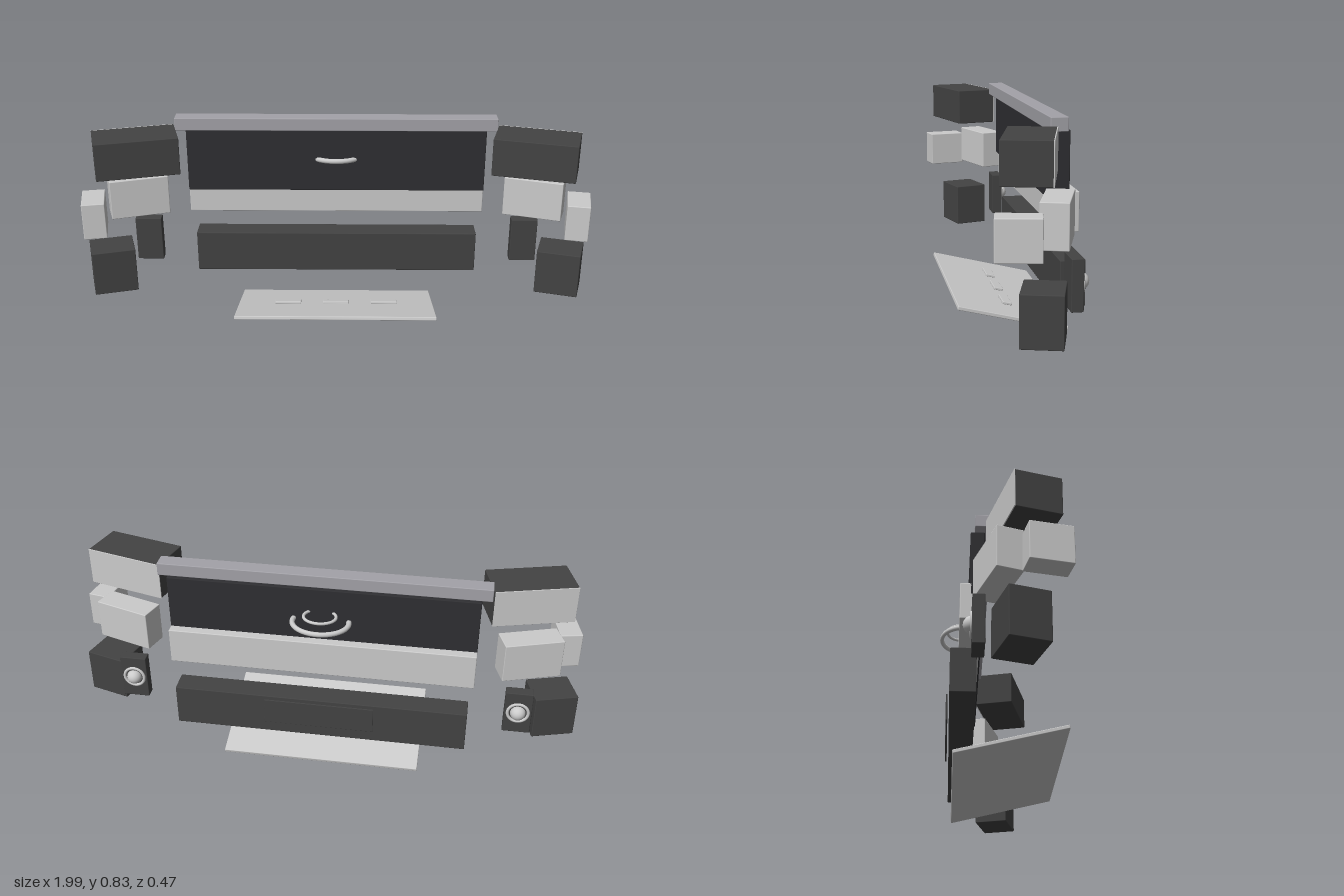
import * as THREE from 'three';
import { RoundedBoxGeometry } from 'three/addons/geometries/RoundedBoxGeometry.js';

const material = (color) => new THREE.MeshStandardMaterial({ color });
const grey = material(0xcccccc);
const dark = material(0x434343);
const black = material(0x2f2f32);
const trim = material(0xa3a2a8);

function add(parent, name, geometry, mat, x, y, z) {
  const mesh = new THREE.Mesh(geometry, mat);
  mesh.name = name;
  mesh.position.set(x, y, z);
  parent.add(mesh);
  return mesh;
}

// Box with slightly softened edges
function box(parent, name, mat, [w, h, d], [x, y, z]) {
  const r = Math.min(0.003, Math.min(w, h, d) * 0.25);
  return add(parent, name, new RoundedBoxGeometry(w, h, d, 2, r), mat, x, y, z);
}

// Horizontal oval ring
function ovalRing(parent, name, radius, tube, y, z) {
  const geometry = new THREE.TorusGeometry(radius, tube, 16, 64);
  geometry.rotateX(Math.PI / 2).scale(1, 1, 0.8);
  return add(parent, name, geometry, grey, 0, y, z);
}

// Blocks on each wing: name, material, size, centre, turn in degrees
const wingBlocks = [
  ['upperPod', dark, [0.316, 0.147, 0.169], [0.766, 0.728, 0.05], 15],
  ['middlePod', grey, [0.23, 0.157, 0.097], [0.787, 0.521, -0.039], 18],
  ['outerPod', grey, [0.087, 0.142, 0.152], [0.929, 0.499, 0.117], 11],
  ['lowerPod', dark, [0.17, 0.18, 0.143], [0.896, 0.237, 0.029], 16.3],
];

function createWing(side) {
  const wing = new THREE.Group();
  wing.name = side > 0 ? 'leftWing' : 'rightWing';
  for (const [name, mat, size, [x, y, z], turn] of wingBlocks) {
    const pod = new THREE.Group();
    pod.name = name;
    pod.position.set(side * x, y, z);
    pod.rotation.y = -side * THREE.MathUtils.degToRad(turn);
    box(pod, name + 'Body', mat, size, [0, 0, 0]);
    // Pale plate closing the back of the upper pod
    if (name === 'upperPod') {
      box(pod, 'upperPodBackPlate', grey, [size[0], size[1], 0.004], [0, 0, -size[2] / 2]);
    }
    wing.add(pod);
  }
  // Small panel with a ball and collar on its back
  const x = side * 0.766;
  box(wing, 'ballPanel', dark, [0.106, 0.182, 0.043], [x, 0.302, -0.102]);
  add(wing, 'ballCollar', new THREE.TorusGeometry(0.04, 0.006, 12, 40), grey, x, 0.304, -0.124);
  add(wing, 'ball', new THREE.SphereGeometry(0.03, 32, 20), grey, x, 0.304, -0.123);
  return wing;
}

export function createModel() {
  const model = new THREE.Group();
  model.name = 'explodedConsole';

  // Central stack from top to bottom
  box(model, 'topBeam', trim, [1.257, 0.05, 0.063], [0, 0.807, -0.081]);
  box(model, 'mainPanel', black, [1.18, 0.26, 0.051], [0, 0.653, -0.102]);
  box(model, 'middleBar', grey, [1.18, 0.142, 0.075], [0, 0.498, -0.125]);
  box(model, 'lowerBar', dark, [1.148, 0.168, 0.092], [0, 0.237, -0.147]);
  box(model, 'lowerBarBackPlate', dark, [0.43, 0.106, 0.006], [0, 0.258, -0.203]);

  // Oval rings passing through the main panel
  ovalRing(model, 'largeRing', 0.107, 0.01, 0.653, -0.143);
  ovalRing(model, 'smallRing', 0.061, 0.006, 0.686, -0.157);

  // Sloping tray with three raised bars
  const tray = new THREE.Group();
  tray.name = 'tray';
  tray.position.set(0, 0.06, 0.029);
  tray.rotation.x = -THREE.MathUtils.degToRad(14);
  box(tray, 'trayBoard', grey, [0.79, 0.0145, 0.426], [0, 0, 0]);
  for (const x of [-0.195, 0, 0.195]) {
    box(tray, 'trayBar', grey, [0.106, 0.01, 0.037], [x, 0.012, 0]);
  }
  model.add(tray);

  model.add(createWing(1), createWing(-1));
  return model;
}
